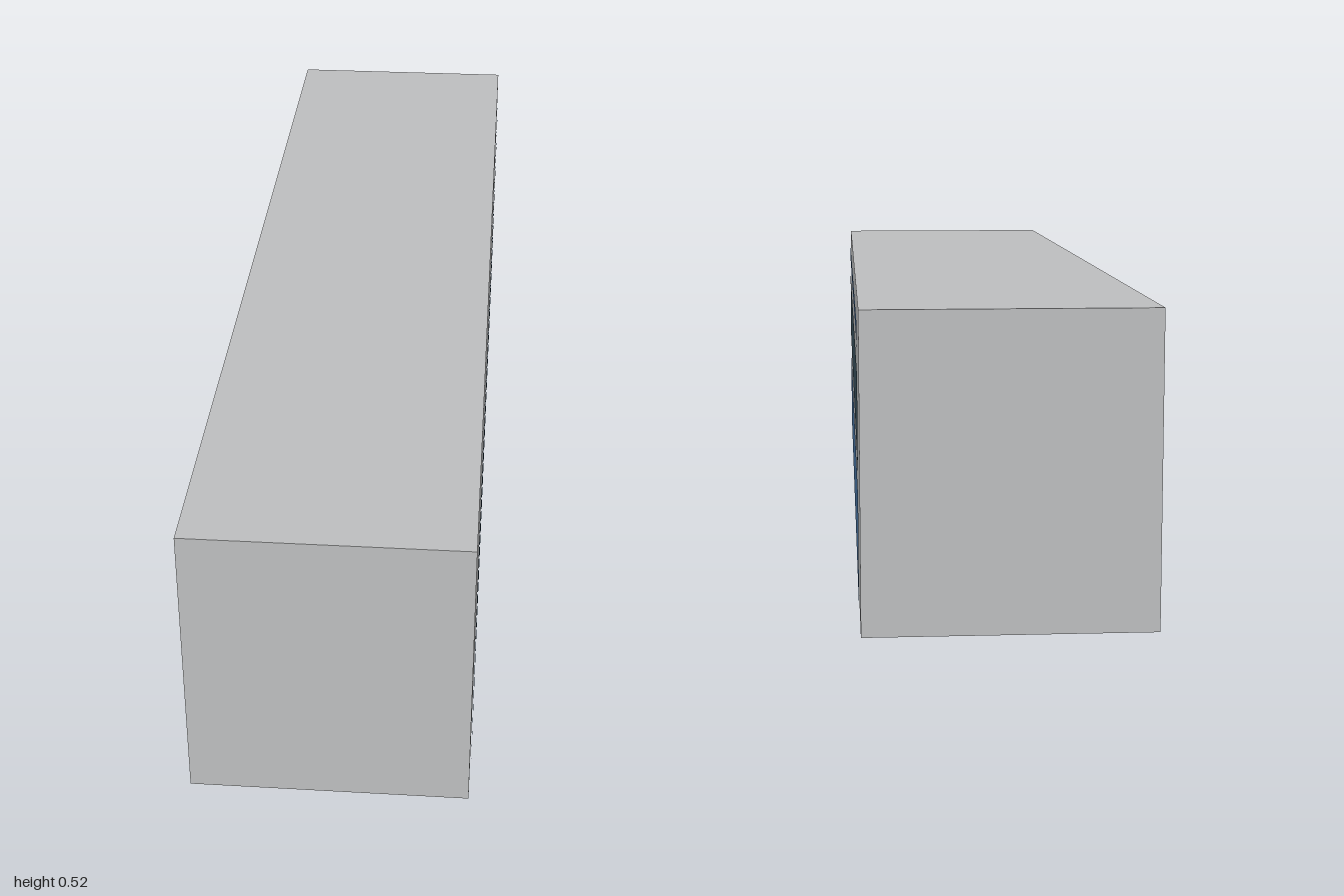
import * as THREE from 'three';

const W = 0.48, H = 0.523, L = 2;

export function createModel() {
  const model = new THREE.Group();
  model.name = 'carriage';

  const grey = new THREE.MeshStandardMaterial({ color: 0xbebfc0, side: THREE.DoubleSide });
  grey.name = 'body grey';
  const blue = new THREE.MeshStandardMaterial({ color: 0x4a76a5 });
  blue.name = 'stripe blue';
  const glass = new THREE.MeshStandardMaterial({ color: 0x3c535f });
  glass.name = 'window dark';

  // Flat panel facing +z, then turned and placed
  function panel(parent, name, w, h, material, position, rx = 0, ry = 0) {
    const mesh = new THREE.Mesh(new THREE.PlaneGeometry(w, h), material);
    mesh.name = name;
    mesh.position.set(...position);
    mesh.rotation.set(rx, ry, 0);
    parent.add(mesh);
  }

  // Body shell, open underneath
  const body = new THREE.Group();
  body.name = 'body';
  model.add(body);
  panel(body, 'roof', W, L, grey, [0, H, 0], -Math.PI / 2);
  panel(body, 'frontEnd', W, H, grey, [0, H / 2, L / 2]);
  panel(body, 'backEnd', W, H, grey, [0, H / 2, -L / 2], 0, Math.PI);

  // Painted bands on each side: name, bottom, top, material
  const bands = [
    ['lowerStripe', 0.03, 0.215, blue],
    ['windowBand', 0.254, 0.413, glass],
    ['upperStripe', 0.457, 0.494, blue],
  ];
  for (const [label, s] of [['left', 1], ['right', -1]]) {
    const turn = s * Math.PI / 2;
    panel(body, label + 'Wall', L, H, grey, [s * W / 2, H / 2, 0], 0, turn);
    const group = new THREE.Group();
    group.name = label + 'Bands';
    for (const [name, y0, y1, material] of bands) {
      panel(group, name, 1.885, y1 - y0, material, [s * (W / 2 + 0.002), (y0 + y1) / 2, 0], 0, turn);
    }
    model.add(group);
  }
  return model;
}
